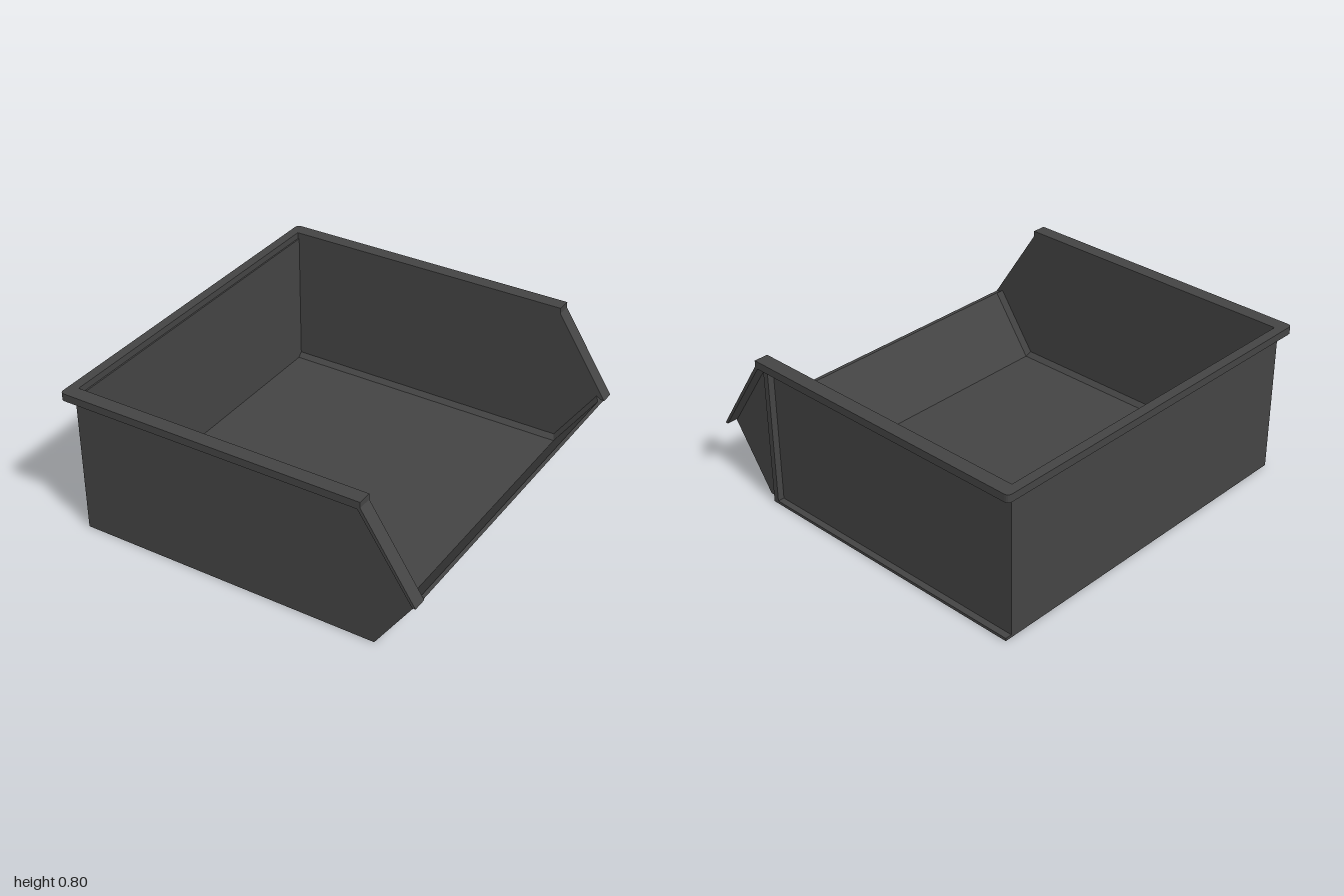
import * as THREE from 'three';
import { ConvexGeometry } from 'three/addons/geometries/ConvexGeometry.js';

const material = new THREE.MeshStandardMaterial({ color: 0x444444, flatShading: true });

// Side outline of the bin, open end towards +x
const BACK = -0.915, TOP = 0.76, WALL = 0.02;
const TOE = [0.71, 0], TIP = [0.945, 0.34], SHOULDER = [0.67, TOP];

function polygon(points) {
  return new THREE.Shape(points.map(([x, y]) => new THREE.Vector2(x, y)));
}

// Extrude an x-y outline from z0 to z1
function slab(points, z0, z1) {
  const geometry = new THREE.ExtrudeGeometry(polygon(points), { depth: z1 - z0, bevelEnabled: false });
  return geometry.translate(0, 0, z0);
}

export function createModel() {
  const bin = new THREE.Group();
  bin.name = 'storageBin';
  const add = (name, geometry) => {
    const mesh = new THREE.Mesh(geometry, material);
    mesh.name = name;
    bin.add(mesh);
    return mesh;
  };
  const box = (name, x0, x1, y0, y1, z0, z1) =>
    add(name, new THREE.BoxGeometry(x1 - x0, y1 - y0, z1 - z0)
      .translate((x0 + x1) / 2, (y0 + y1) / 2, (z0 + z1) / 2));

  // Back wall, floor and sloping front lip as one bent sheet
  add('floorAndEndWalls', slab([
    [BACK, TOP], [BACK, 0], TOE, TIP,
    [0.925, 0.34], [0.70, WALL], [BACK + WALL, WALL], [BACK + WALL, TOP],
  ], -0.925, 0.925));

  for (const side of [-1, 1]) {
    const span = (a, b) => (side > 0 ? [a, b] : [-b, -a]);
    const label = side > 0 ? 'left' : 'right';

    // Pointed side wall
    add(label + 'SideWall', slab([[BACK, 0], TOE, TIP, SHOULDER, [BACK, TOP]], ...span(0.925, 0.94)));

    // Flange folded outwards along the slanted opening
    add(label + 'FrontFlange', slab([
      [0.67, 0.765], [0.655, 0.755], [0.932, 0.337], [0.949, 0.337],
    ], ...span(0.925, 1)));

    // Chamfers where the side wall meets the floor and front lip
    const fillet = (name, p, q, normal) => {
      const corners = [p, q].flatMap(([x, y]) => [
        new THREE.Vector3(x, y, side * 0.926),
        new THREE.Vector3(x, y, side * 0.9),
        new THREE.Vector3(x + normal[0] * 0.025, y + normal[1] * 0.025, side * 0.926),
      ]);
      add(name, new ConvexGeometry(corners));
    };
    fillet(label + 'FloorFillet', [BACK + WALL, WALL], [0.70, WALL], [0, 1]);
    fillet(label + 'LipFillet', [0.70, WALL], [0.925, 0.34], [-0.82, 0.57]);
  }

  // U-shaped rim with rounded back corners
  const r = 0.025, x0 = -0.953, x1 = 0.67;
  const outline = new THREE.Shape();
  outline.moveTo(x1, 1);
  outline.lineTo(x0 + r, 1);
  outline.quadraticCurveTo(x0, 1, x0, 1 - r);
  outline.lineTo(x0, -1 + r);
  outline.quadraticCurveTo(x0, -1, x0 + r, -1);
  outline.lineTo(x1, -1);
  outline.lineTo(x1, -0.925);
  outline.lineTo(-0.903, -0.925);
  outline.lineTo(-0.903, 0.925);
  outline.lineTo(x1, 0.925);
  const rim = new THREE.ExtrudeGeometry(outline, { depth: 0.04, bevelEnabled: false, curveSegments: 4 });
  add('topRim', rim.rotateX(Math.PI / 2).translate(0, 0.795, 0));

  // Upright rib and bottom ledge on the outside of the right wall
  box('sideRib', 0.615, 0.645, 0, TOP, -0.975, -0.935);
  box('bottomLedge', BACK, 0.615, 0, 0.015, -0.975, -0.935);

  return bin;
}
